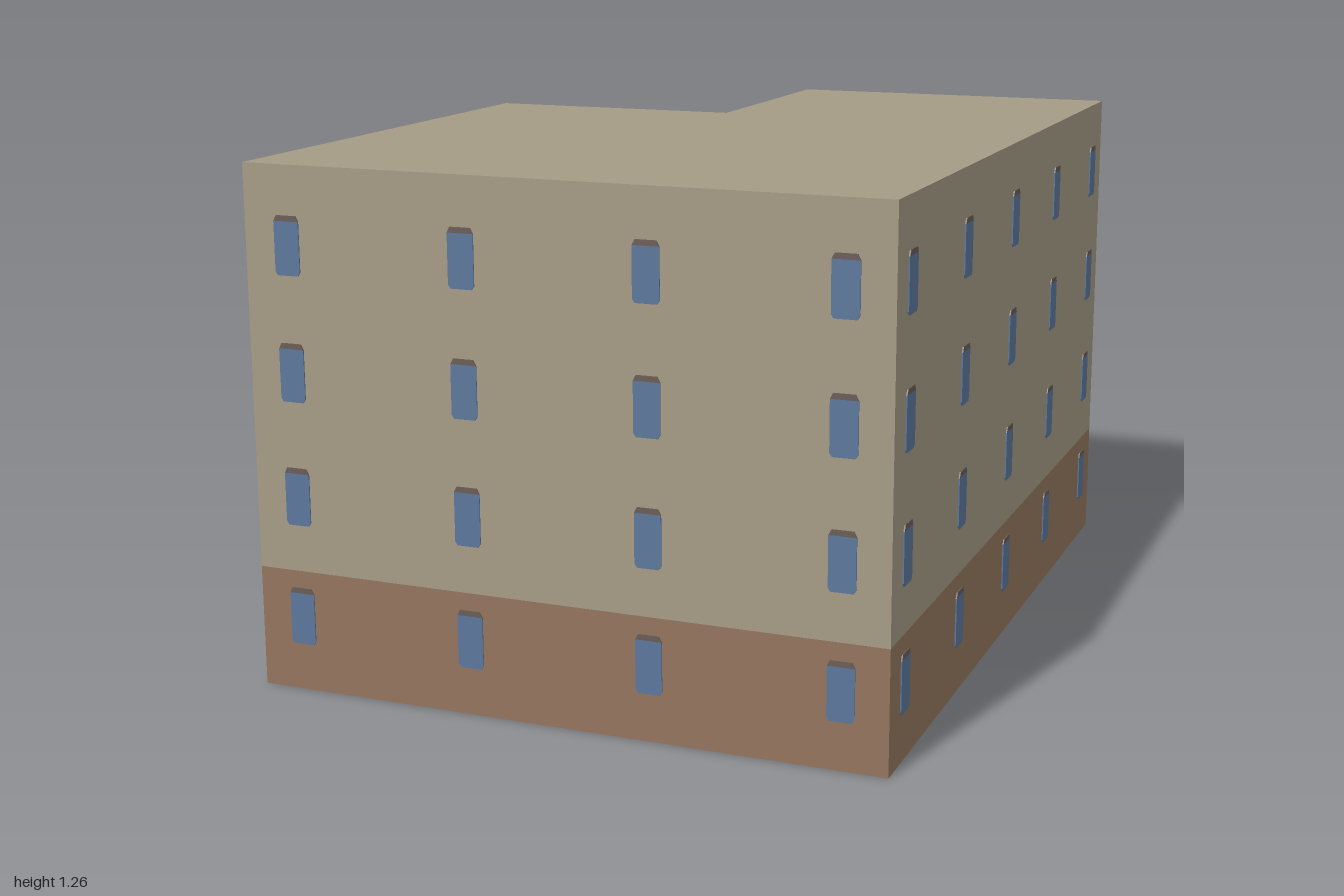
import * as THREE from 'three';

const HEIGHT = 1.26, PLINTH = 0.295;
const ROWS = [0.183, 0.477, 0.775, 1.073];

// Footprint corners [x, z] in order, with window distances along the wall that starts there
const WALLS = [
  { name: 'frontWall', at: [-0.78, 1], windows: [0.11, 0.555, 1.0, 1.45] },
  { name: 'rightSideWall', at: [0.78, 1], windows: [0.11, 0.555, 1.0, 1.445, 1.89] },
  { name: 'backWall', at: [0.78, -1], windows: [0.335, 0.78] },
  { name: 'notchSideWall', at: [-0.11, -1], windows: [0.11, 0.555] },
  { name: 'notchBackWall', at: [-0.11, -0.33], windows: [0.11, 0.555] },
  { name: 'leftSideWall', at: [-0.78, -0.33], windows: [0.335, 0.78, 1.225], door: 0.56 },
];

function material(name, color) {
  const m = new THREE.MeshStandardMaterial({ color, side: THREE.DoubleSide });
  m.name = name;
  return m;
}

// Thin plate centred on the wall sheet, so it shows inside and outside
function plate(points, thickness) {
  const shape = new THREE.Shape(points.map(([x, y]) => new THREE.Vector2(x, y)));
  const g = new THREE.ExtrudeGeometry(shape, { depth: thickness, bevelEnabled: false });
  return g.translate(0, 0, -thickness / 2);
}

export function createModel() {
  const plaster = material('plaster', 0xa59b86);
  const brick = material('brick', 0x94765e);
  const glass = material('windowBlue', 0x5c779c);
  const lintel = material('lintelGrey', 0x6a5d56);

  const model = new THREE.Group();
  model.name = 'building';

  function add(parent, name, geometry, mat, x = 0, y = 0, z = 0) {
    const mesh = new THREE.Mesh(geometry, mat);
    mesh.name = name;
    mesh.position.set(x, y, z);
    parent.add(mesh);
    return mesh;
  }

  // Window pane with clipped corners, and the dark lintel along its top
  const pane = plate([
    [-0.026, -0.069], [0.026, -0.069], [0.032, -0.06], [0.032, 0.057],
    [-0.032, 0.057], [-0.032, -0.06],
  ], 0.006);
  const cap = plate([
    [-0.032, 0.057], [0.032, 0.057], [0.025, 0.07], [-0.025, 0.07],
  ], 0.006);

  // Walls: brick base, plaster above, windows in four rows
  WALLS.forEach(({ name, at: [x, z], windows, door }, i) => {
    const [nx, nz] = WALLS[(i + 1) % WALLS.length].at;
    const length = Math.hypot(nx - x, nz - z);
    const wall = new THREE.Group();
    wall.name = name;
    wall.position.set(x, 0, z);
    wall.rotation.y = Math.atan2(z - nz, nx - x);
    model.add(wall);

    add(wall, 'brickBase', new THREE.PlaneGeometry(length, PLINTH), brick, length / 2, PLINTH / 2);
    add(wall, 'plasterWall', new THREE.PlaneGeometry(length, HEIGHT - PLINTH), plaster,
      length / 2, (HEIGHT + PLINTH) / 2);

    for (const s of windows) {
      for (const y of ROWS) {
        add(wall, 'windowPane', pane, glass, s, y);
        add(wall, 'windowLintel', cap, lintel, s, y);
      }
    }
    if (door) add(wall, 'door', new THREE.BoxGeometry(0.15, 0.18, 0.008), plaster, door, 0.09);
  });

  // Flat roof over the L-shaped footprint
  const outline = new THREE.Shape(WALLS.map(({ at: [x, z] }) => new THREE.Vector2(x, -z)));
  add(model, 'roof', new THREE.ShapeGeometry(outline).rotateX(-Math.PI / 2), plaster, 0, HEIGHT, 0);

  return model;
}
